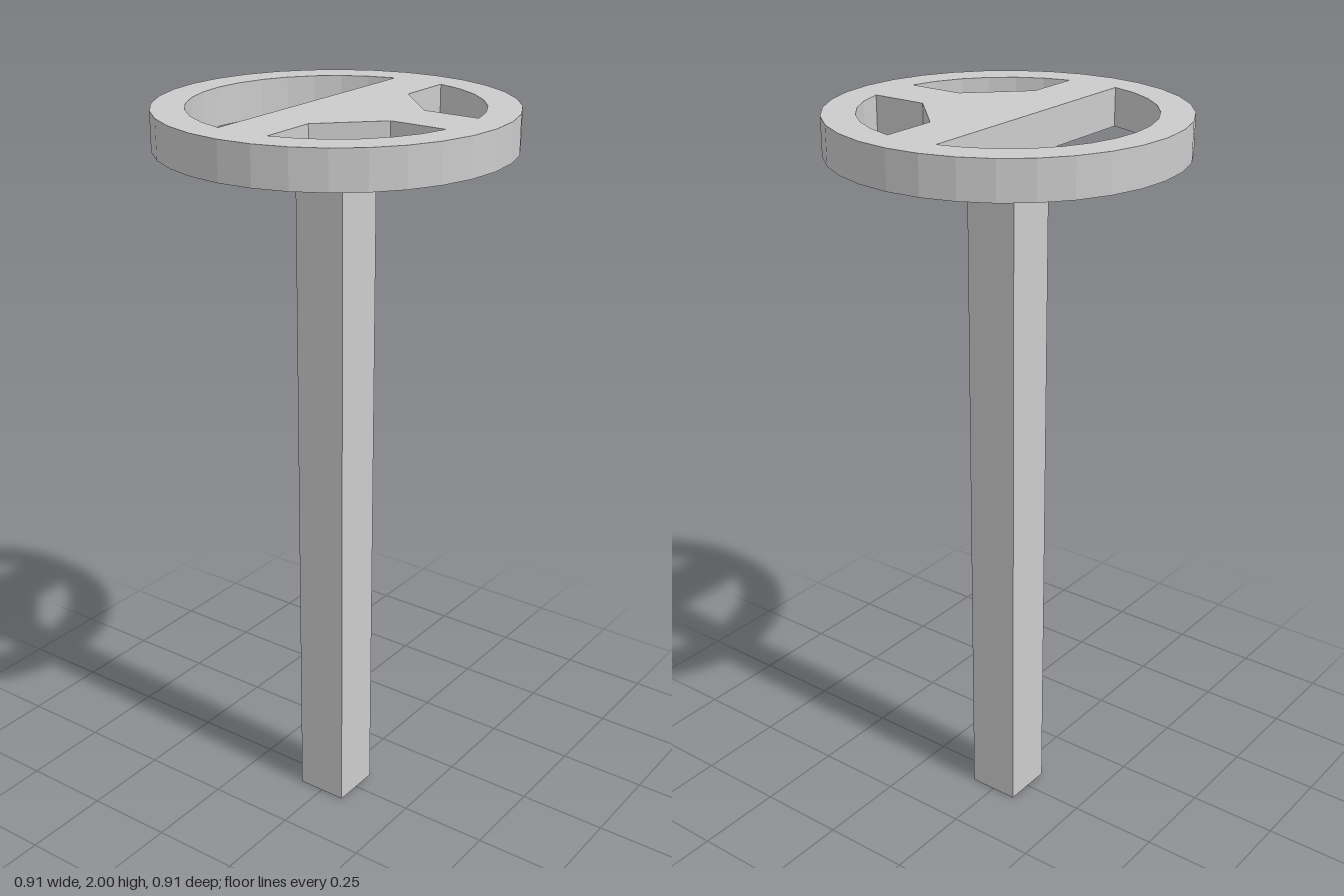
import * as THREE from 'three';

const SIDES = 32;
const OUTER = 0.455, INNER = 0.37;
const HALF = INNER * Math.sin((2 * Math.PI) / SIDES); // half width of spokes and post
const GUSSET = 0.21;
const TOP = 2, THICK = 0.1;

// Points on a faceted circle, from step a to step b
function arc(radius, a, b) {
  const pts = [];
  for (let i = a; i <= b; i++) {
    const t = (i * 2 * Math.PI) / SIDES;
    pts.push(new THREE.Vector2(radius * Math.cos(t), radius * Math.sin(t)));
  }
  return pts;
}

export function createModel() {
  const group = new THREE.Group();
  const material = new THREE.MeshStandardMaterial({ color: 0xcccccc, flatShading: true });

  // Wheel: a 32-sided disc with three openings that leave the rim and spokes
  const outline = new THREE.Shape(arc(OUTER, 0, SIDES - 1));
  const rearOpening = arc(INNER, SIDES / 2 + 1, SIDES - 1);
  const leftOpening = [
    ...arc(INNER, 1, SIDES / 4 - 1),
    new THREE.Vector2(HALF, GUSSET),
    new THREE.Vector2(GUSSET, HALF),
  ];
  const rightOpening = leftOpening.map((p) => new THREE.Vector2(-p.x, p.y)).reverse();
  for (const pts of [rearOpening, leftOpening, rightOpening]) outline.holes.push(new THREE.Path(pts));

  const wheelGeometry = new THREE.ExtrudeGeometry(outline, { depth: THICK, bevelEnabled: false });
  wheelGeometry.rotateX(Math.PI / 2); // lay flat, shape y becomes z
  const wheel = new THREE.Mesh(wheelGeometry, material);
  wheel.name = 'steeringWheel';
  wheel.position.y = TOP;
  group.add(wheel);

  // Square column under the hub
  const height = TOP - THICK;
  const column = new THREE.Mesh(new THREE.BoxGeometry(2 * HALF, height, 2 * HALF), material);
  column.name = 'steeringColumn';
  column.position.y = height / 2;
  group.add(column);

  return group;
}
